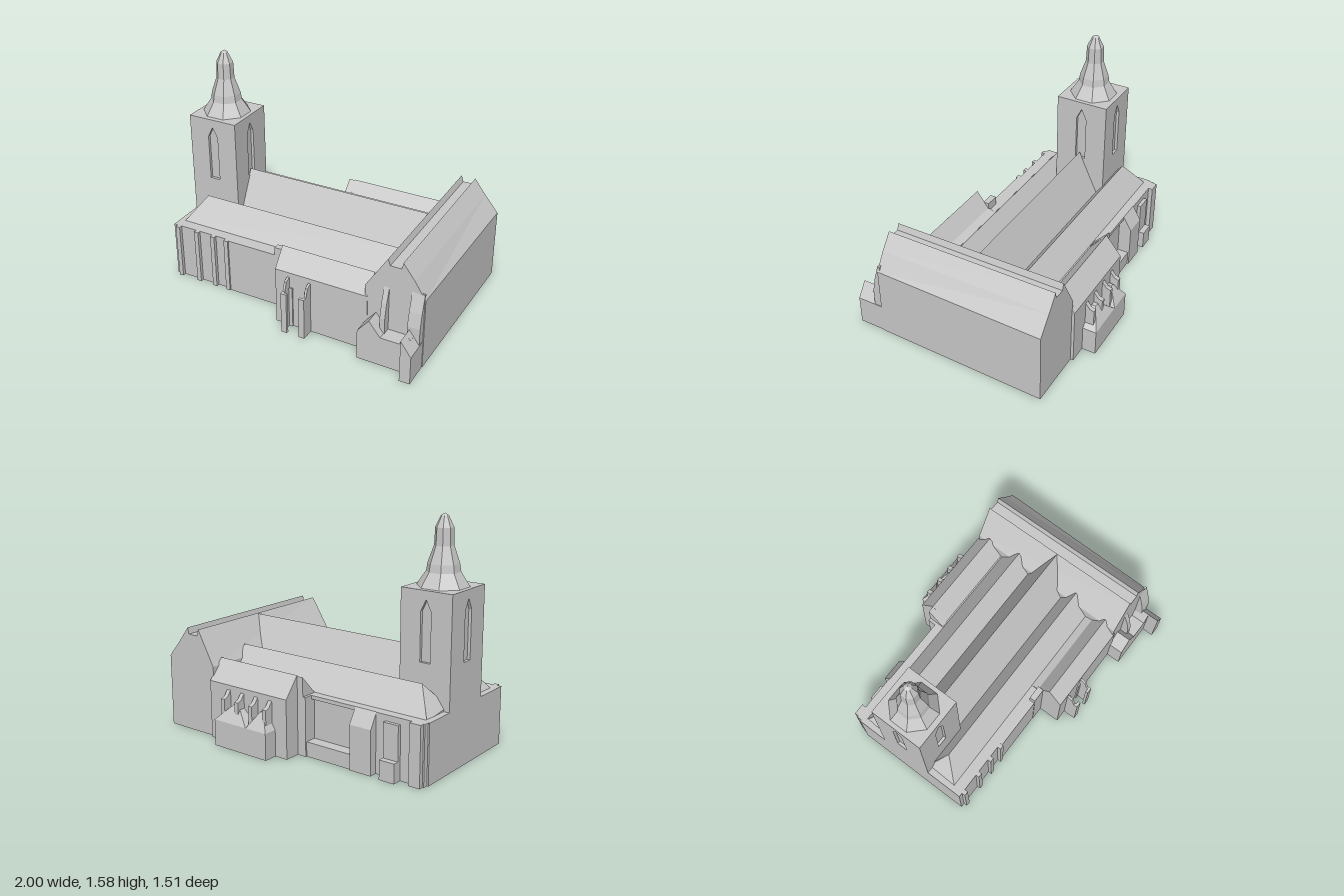
import * as THREE from 'three';

const stone = new THREE.MeshStandardMaterial({ color: 0xc8c8c8 });
stone.name = 'pale stone';

export function createModel() {
  const model = new THREE.Group();
  model.name = 'church';

  const add = (name, geometry, parent = model) => {
    const mesh = new THREE.Mesh(geometry, stone);
    mesh.name = name;
    parent.add(mesh);
    return mesh;
  };
  // Box given by its limits on each axis
  const block = (name, x0, x1, y0, y1, z0, z1) =>
    add(name, new THREE.BoxGeometry(x1 - x0, y1 - y0, z1 - z0)
      .translate((x0 + x1) / 2, (y0 + y1) / 2, (z0 + z1) / 2));
  const shapeOf = (pts) => new THREE.Shape(pts.map(([a, b]) => new THREE.Vector2(a, b)));
  const extrude = (shape, depth) => new THREE.ExtrudeGeometry(shape, { depth, bevelEnabled: false });
  // Section in (x, y) carried along z
  const alongZ = (pts, z0, z1) => extrude(shapeOf(pts), z1 - z0).translate(0, 0, z0);
  // Section in (z, y) carried along x
  const alongX = (pts, x0, x1) => extrude(shapeOf(pts), x1 - x0).rotateY(-Math.PI / 2).translate(x1, 0, 0);
  // Move vertices by a rule, then refresh the flat normals
  const reshape = (geometry, rule) => {
    const p = geometry.attributes.position;
    const v = new THREE.Vector3();
    for (let i = 0; i < p.count; i++) {
      v.fromBufferAttribute(p, i);
      rule(v);
      p.setXYZ(i, v.x, v.y, v.z);
    }
    geometry.computeVertexNormals();
    return geometry;
  };

  // Nave walls with a flat top around the roofs
  block('naveWalls', -1, 0.6, 0, 0.4, -0.46, 0.41);
  block('southWallFacing', -0.54, -0.08, 0, 0.4, 0.4, 0.425);

  // Three parallel roofs; the outer two are hipped at the tower end
  add('centralRoof', alongX([[-0.19, 0.38], [0.11, 0.38], [0.11, 0.42], [-0.045, 0.72], [-0.19, 0.42]], -0.64, 0.72));
  const hip = (v) => { if (v.y > 0.56 && v.x < -0.9) v.x = -0.84; };
  add('southRoof', reshape(alongX([[0.11, 0.39], [0.335, 0.39], [0.335, 0.4], [0.205, 0.57], [0.11, 0.42]], -0.96, 0.62), hip));
  add('northRoof', reshape(alongX([[-0.43, 0.39], [-0.19, 0.39], [-0.19, 0.42], [-0.3, 0.57], [-0.43, 0.4]], -0.96, 0.62), hip));

  // Slim buttresses on the front wall
  for (const x of [-0.955, -0.8, -0.667, -0.557]) {
    block('wallButtress', x - 0.016, x + 0.016, 0, 0.4, 0.4, 0.435);
  }

  // Front chapel with its ridged roof, and a step beside it
  add('frontChapel', alongX([[0.33, 0], [0.58, 0], [0.58, 0.41], [0.48, 0.535], [0.39, 0.42], [0.33, 0.4]], -0.075, 0.59));
  block('chapelStep', -0.17, -0.07, 0, 0.46, 0.385, 0.428);
  // Pair of thin hooked buttresses, mirrored about the doorway
  for (const side of [-1, 1]) {
    const at = (near, far) => [0.1 + side * near, 0.1 + side * far].sort((a, b) => a - b);
    const [w0, w1] = at(0.07, 0.086);
    add('doorButtress', alongX([[0.57, 0], [0.67, 0], [0.67, 0.3], [0.64, 0.3], [0.62, 0.36], [0.57, 0.38]], w0, w1));
    const [f0, f1] = at(0.045, 0.086);
    block('buttressFoot', f0, f1, 0, 0.3, 0.65, 0.67);
    block('buttressRoot', f0, f1, 0, 0.3, 0.575, 0.59);
  }

  // Back chapel
  add('backChapel', alongX([[-0.66, 0], [-0.41, 0], [-0.41, 0.4], [-0.44, 0.4], [-0.55, 0.535], [-0.66, 0.4]], -0.065, 0.6));
  add('backChapelRoofEnd', alongX([[-0.55, 0.38], [-0.42, 0.38], [-0.44, 0.41], [-0.55, 0.53]], -0.11, -0.06));
  // Low annex with two little pyramid roofs
  block('annex', 0.03, 0.475, 0, 0.18, -0.755, -0.65);
  for (const [x0, x1] of [[0.03, 0.2], [0.2, 0.475]]) {
    const mid = (x0 + x1) / 2;
    add('annexRoof', reshape(
      alongX([[-0.755, 0.18], [-0.65, 0.18], [-0.65, 0.29], [-0.69, 0.29]], x0, x1),
      (v) => { if (v.y > 0.28) v.x = mid + (v.x - mid) * 0.15; }));
  }
  // Small sloped buttresses rising behind the annex
  for (const x of [0.07, 0.19, 0.31, 0.43]) {
    add('annexButtress', alongX([[-0.72, 0.17], [-0.65, 0.17], [-0.65, 0.38], [-0.69, 0.33], [-0.72, 0.32]], x - 0.015, x + 0.015));
  }

  // Back wall: framed recess, sloped pier, corner piers, low block
  block('recessLedge', -0.5, -0.06, 0, 0.1, -0.54, -0.45);
  block('recessLintel', -0.5, -0.06, 0.375, 0.4, -0.49, -0.45);
  block('recessPier', -0.13, -0.06, 0, 0.4, -0.55, -0.45);
  add('slopedPier', alongX([[-0.55, 0], [-0.45, 0], [-0.45, 0.4], [-0.49, 0.4], [-0.55, 0.3]], -0.64, -0.48));
  block('backFacing', -0.99, -0.64, 0, 0.4, -0.495, -0.45);
  block('cornerPier', -0.98, -0.9, 0, 0.4, -0.525, -0.45);
  block('middlePier', -0.82, -0.71, 0, 0.36, -0.52, -0.45);
  block('lowBlock', -0.82, -0.71, 0, 0.13, -0.56, -0.45);

  // Cross wing with twin crests and a gutter between; its far side is slightly skewed
  add('crossWing', reshape(
    alongZ([[0.57, 0], [1, 0], [1, 0.5], [0.9, 0.62], [0.82, 0.725], [0.81, 0.68],
      [0.735, 0.68], [0.72, 0.725], [0.57, 0.49]], -0.64, 0.575),
    (v) => {
      if (v.x > 0.95) v.x -= (v.z + 0.64) * 0.02;
      if (v.z < 0 && v.x < 0.6) v.x += 0.02;
    }));

  // Gabled porch, stepped shoulder and corner buttress on the front of the wing
  add('porch', alongZ([[0.57, 0], [0.93, 0], [0.93, 0.26], [0.9, 0.3], [0.86, 0.21],
    [0.73, 0.21], [0.65, 0.31], [0.57, 0.21]], 0.56, 0.68));
  add('cornerButtress', alongZ([[0.9, 0], [0.972, 0], [0.972, 0.2], [0.9, 0.3]], 0.56, 0.76));
  for (const [x0, x1, y] of [[0.7, 0.735, 0.46], [0.885, 0.97, 0.48]]) {
    add('wingPilaster', alongX([[0.56, 0], [0.63, 0], [0.63, 0.32], [0.61, 0.42], [0.575, y + 0.06], [0.56, y + 0.06]], x0, x1));
  }

  // Tower: solid core with four faces, each pierced by a lancet
  const tower = new THREE.Group();
  tower.name = 'tower';
  tower.position.set(-0.8175, 0, -0.05);
  model.add(tower);
  const halfX = 0.1825, halfZ = 0.19, depth = 0.02, top = 1.13;
  add('towerCore', new THREE.BoxGeometry((halfX - depth) * 2, top, (halfZ - depth) * 2).translate(0, top / 2, 0), tower);
  const lancet = [[-0.037, 0.68], [0.037, 0.68], [0.037, 1.0], [0, 1.075], [-0.037, 1.0]];
  for (let i = 0; i < 4; i++) {
    const onZ = i % 2 === 0;
    const w = onZ ? halfX : halfZ - depth;
    const face = shapeOf([[-w, 0], [w, 0], [w, top], [-w, top]]);
    face.holes.push(new THREE.Path(lancet.map(([a, b]) => new THREE.Vector2(a, b))));
    const geometry = extrude(face, depth).translate(0, 0, (onZ ? halfZ : halfX) - depth);
    add('towerFace', geometry.rotateY(i * Math.PI / 2), tower);
  }

  // Eight-sided bell-shaped spire
  const profile = [[0.166, 1.13], [0.108, 1.22], [0.1, 1.27], [0.062, 1.38], [0.058, 1.49], [0.024, 1.56], [0, 1.575]]
    .map(([r, y]) => new THREE.Vector2(r, y));
  const spire = new THREE.LatheGeometry(profile, 8, Math.PI / 8).toNonIndexed();
  spire.computeVertexNormals();
  add('spire', spire, tower);

  return model;
}
